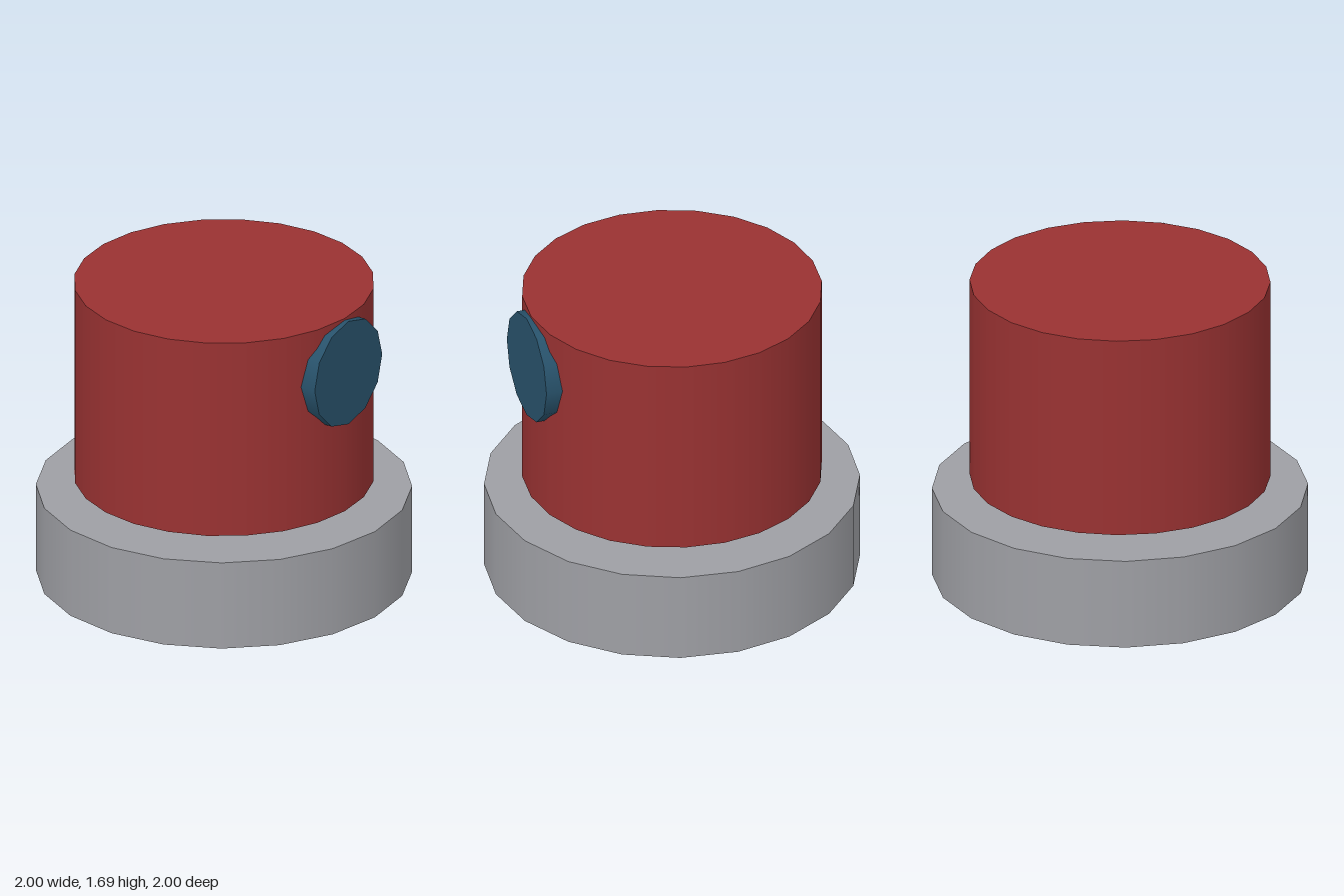
import * as THREE from 'three';

export function createModel() {
  const group = new THREE.Group();

  const paint = (name, color) => {
    const material = new THREE.MeshStandardMaterial({ color });
    material.name = name;
    return material;
  };

  // Adds a capped cylinder centred at height y
  const addCylinder = (name, radius, height, sides, y, material) => {
    const mesh = new THREE.Mesh(new THREE.CylinderGeometry(radius, radius, height, sides), material);
    mesh.name = name;
    mesh.position.y = y;
    group.add(mesh);
    return mesh;
  };

  // Wide base, and the drum floating just above it
  addCylinder('base', 1, 0.5, 20, 0.25, paint('grey', 0x9e9fa4));
  addCylinder('drum', 0.8, 1.125, 24, 1.1275, paint('red', 0x993232));

  // Round lens set into the front of the drum
  const lens = addCylinder('lens', 0.3, 0.15, 12, 1.38, paint('blue', 0x28526b));
  lens.rotation.x = Math.PI / 2;
  lens.position.z = 0.75;

  return group;
}
